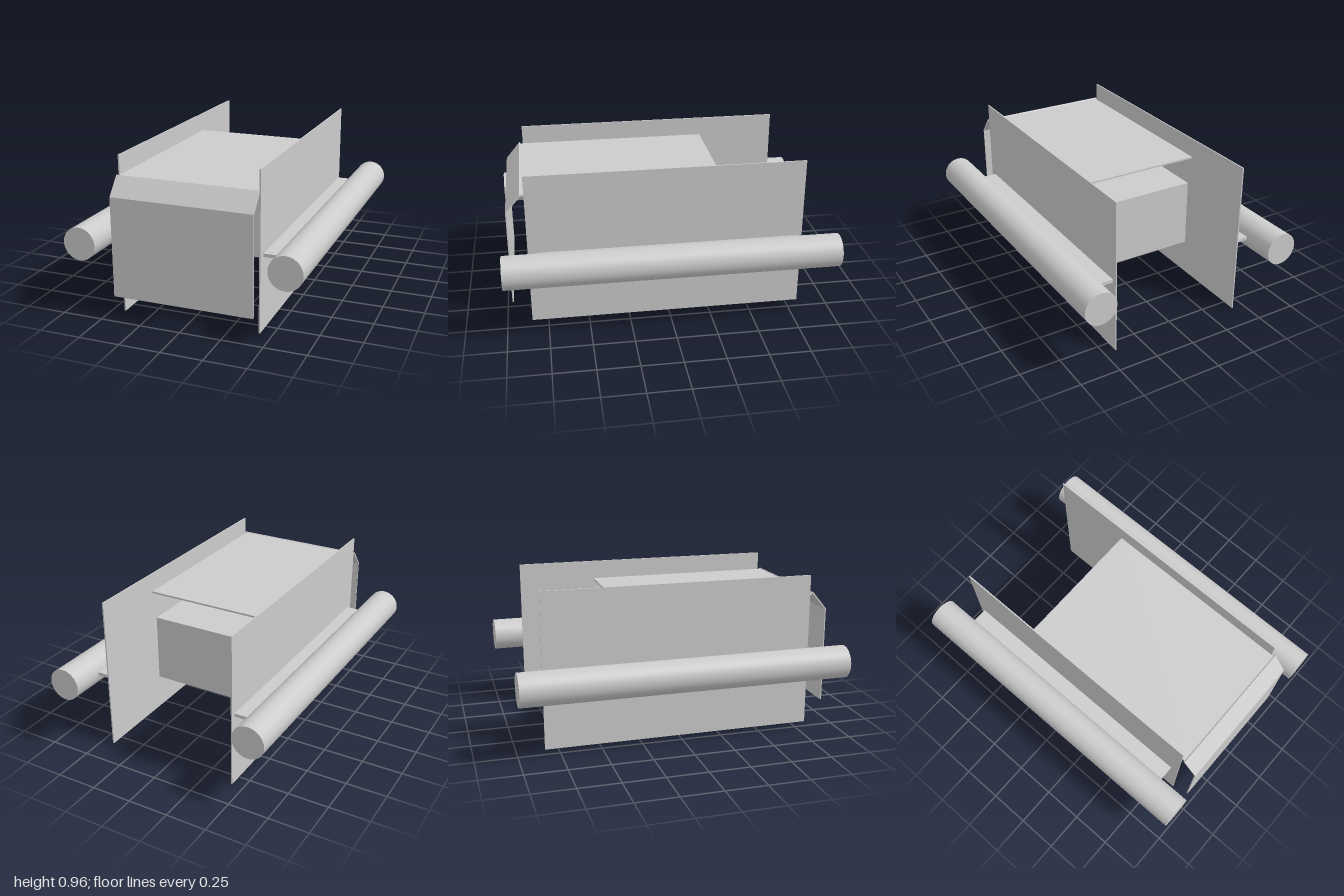
import * as THREE from 'three';

const material = new THREE.MeshStandardMaterial({ color: 0xcccccc });

export function createModel() {
  const model = new THREE.Group();

  const add = (name, geometry) => {
    const mesh = new THREE.Mesh(geometry, material);
    mesh.name = name;
    model.add(mesh);
    return mesh;
  };

  // Box given by its minimum and maximum corners
  const box = (name, [x0, y0, z0], [x1, y1, z1]) => {
    const mesh = add(name, new THREE.BoxGeometry(x1 - x0, y1 - y0, z1 - z0));
    mesh.position.set((x0 + x1) / 2, (y0 + y1) / 2, (z0 + z1) / 2);
  };

  // Side plates, each carrying a long tube on a flat bracket
  for (const [side, s] of [['left', 1], ['right', -1]]) {
    const span = (a, b) => (s > 0 ? [a, b] : [-b, -a]);
    const [p0, p1] = span(0.42, 0.428);
    box(side + 'SidePlate', [p0, 0, -0.83], [p1, 0.96, 0.85]);

    const [b0, b1] = span(0.428, 0.53);
    box(side + 'Bracket', [b0, 0.445, -0.8], [b1, 0.465, 0.8]);

    const tube = add(side + 'Tube', new THREE.CylinderGeometry(0.1, 0.1, 2, 48));
    tube.rotation.x = Math.PI / 2;
    tube.position.set(s * 0.62, 0.45, 0);
  }

  // Top cover and the block hung between the side plates
  box('topCover', [-0.42, 0.832, -0.34], [0.42, 0.843, 0.865]);
  box('centerBlock', [-0.42, 0.22, -0.31], [0.42, 0.65, 0.28]);

  // Front panel: thin upright sheet with a folded-back upper edge (z, y profile)
  const profile = new THREE.Shape(
    [[0.955, 0.14], [0.962, 0.14], [0.962, 0.742], [0.873, 0.849], [0.865, 0.843], [0.955, 0.738]]
      .map(([z, y]) => new THREE.Vector2(-z, y))
  );
  const panel = new THREE.ExtrudeGeometry(profile, { depth: 0.858, bevelEnabled: false });
  panel.translate(0, 0, -0.429).rotateY(Math.PI / 2);
  add('frontPanel', panel);

  return model;
}
